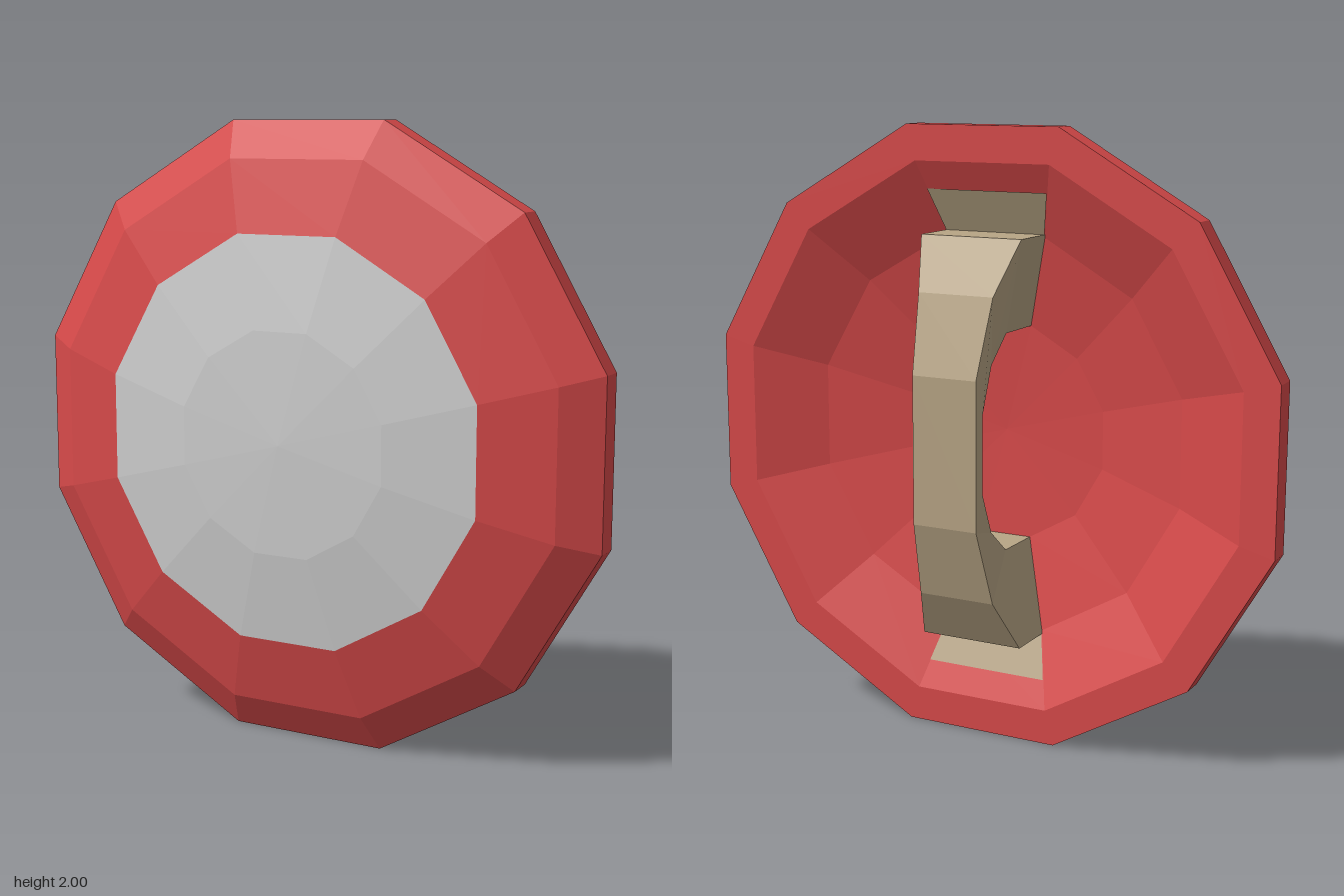
import * as THREE from 'three';

const SIDES = 12;
const CENTRE_Y = 1;

function material(name, color) {
  const m = new THREE.MeshStandardMaterial({ color });
  m.name = name;
  return m;
}

// Faceted normals: every triangle keeps its own corners
function facet(geometry) {
  const g = geometry.index ? geometry.toNonIndexed() : geometry;
  g.computeVertexNormals();
  return g;
}

// Twelve-sided disc about the z axis; profile is [distance to flat side, z]
function turned(profile) {
  const points = profile.map(([r, z]) => new THREE.Vector2(r / Math.cos(Math.PI / SIDES), z));
  const g = new THREE.LatheGeometry(points, SIDES, Math.PI / SIDES);
  g.rotateX(Math.PI / 2);
  return facet(g);
}

// Skin of quads between successive four-cornered rings
function loft(rings) {
  const index = [];
  for (let i = 0; i < rings.length - 1; i++) {
    for (let j = 0; j < 4; j++) {
      const a = i * 4 + j, d = i * 4 + (j + 1) % 4;
      index.push(a, a + 4, d + 4, a, d + 4, d);
    }
  }
  const g = new THREE.BufferGeometry();
  g.setAttribute('position', new THREE.Float32BufferAttribute(rings.flat(2), 3));
  g.setIndex(index);
  return facet(g);
}

export function createModel() {
  const model = new THREE.Group();
  model.name = 'roundShield';
  const red = material('red paint', 0xd84a4a);
  const grey = material('pale grey metal', 0xd0d0d0);
  const tan = material('tan leather', 0xb8a585);

  function add(name, geometry, mat) {
    const mesh = new THREE.Mesh(geometry, mat);
    mesh.name = name;
    mesh.position.y = CENTRE_Y;
    model.add(mesh);
    return mesh;
  }

  // Hollow back, flat rim and sloping front border
  add('shieldBody', turned([
    [0, 0.17], [0.355, 0.155], [0.65, 0.09], [0.885, -0.015],
    [1, -0.015], [1, 0.065], [0.88, 0.14], [0.65, 0.2],
  ]), red);

  // Shallow domed centre of the front
  add('frontDome', turned([[0.65, 0.2], [0.355, 0.24], [0, 0.253]]), grey);

  // Grip: stations of outer and inner [y, z, half width], mirrored top to bottom
  const half = [
    [[0.66, 0.1, 0.177], [0.355, 0.165, 0.095]],
    [[0.66, -0.08, 0.177], [0.355, -0.02, 0.095]],
    [[0.49, -0.18, 0.131], [0.27, -0.13, 0.1]],
    [[0.24, -0.255, 0.112], [0.13, -0.21, 0.112]],
  ];
  const ring = ([[yo, zo, wo], [yi, zi, wi]], s) => [
    [wo, s * yo, zo], [-wo, s * yo, zo], [-wi, s * yi, zi], [wi, s * yi, zi],
  ];
  const rings = [
    ...half.map((h) => ring(h, 1)),
    ...half.slice().reverse().map((h) => ring(h, -1)),
  ];
  add('handle', loft(rings), tan);

  // Mounting patches lying on the hollow back, just beyond the grip ends
  const innerZ = (y) => -0.015 + (0.885 - y) * 0.447 - 0.005;
  const [low, high] = [0.655, 0.795];
  const spread = Math.tan(Math.PI / SIDES);
  for (const [name, turn] of [['upperHandlePatch', 0], ['lowerHandlePatch', Math.PI]]) {
    const g = new THREE.BufferGeometry();
    g.setAttribute('position', new THREE.Float32BufferAttribute([
      low * spread, low, innerZ(low), -low * spread, low, innerZ(low),
      -high * spread, high, innerZ(high), high * spread, high, innerZ(high),
    ], 3));
    g.setIndex([0, 1, 2, 0, 2, 3]);
    g.rotateZ(turn);
    add(name, facet(g), tan);
  }

  return model;
}
